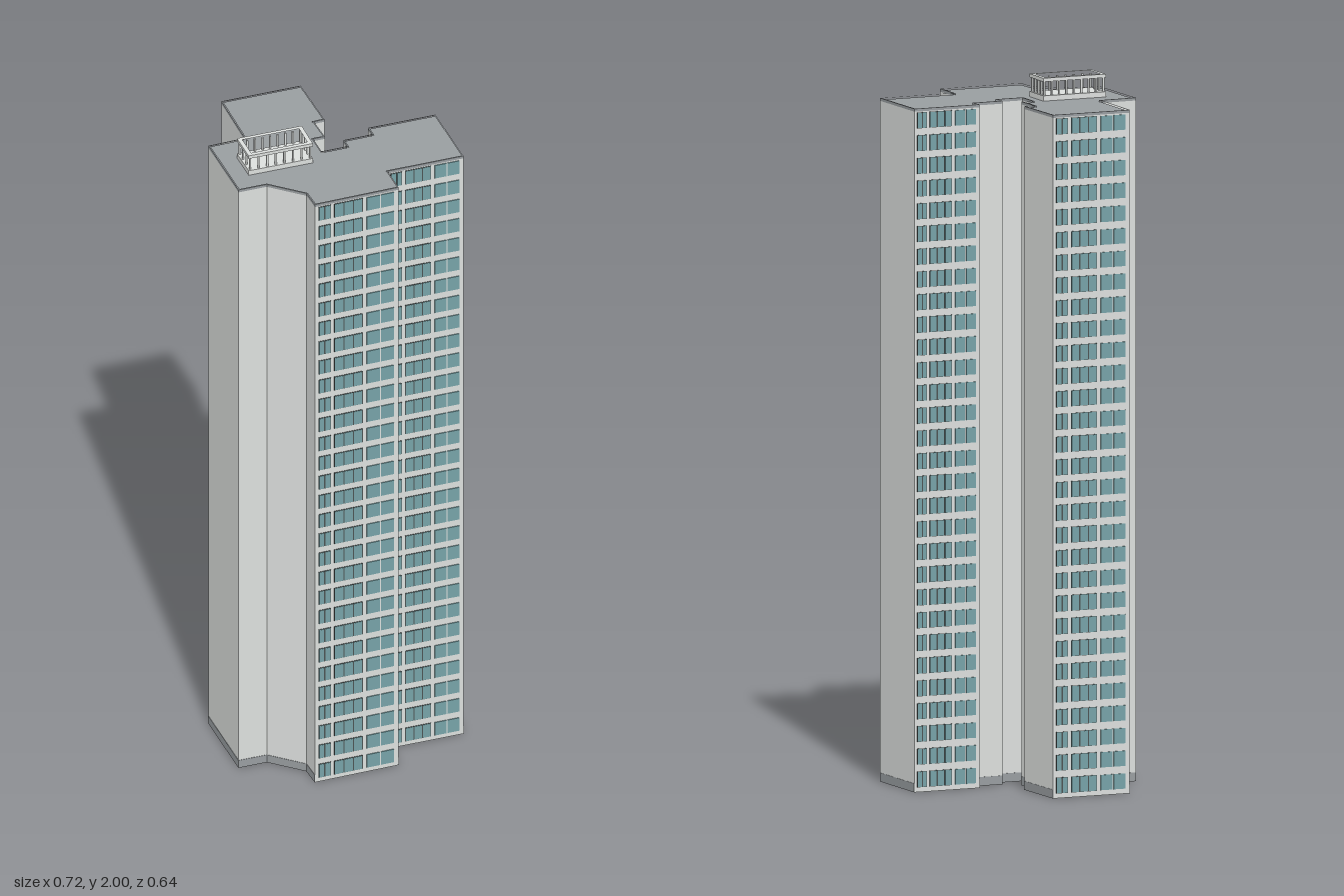
import * as THREE from 'three';
import { mergeGeometries } from 'three/addons/utils/BufferGeometryUtils.js';

const material = (name, color) => {
  const m = new THREE.MeshStandardMaterial({ color });
  m.name = name;
  return m;
};

// Tower outline as [x, z], clockwise seen from above
const OUTLINE = [
  [-0.224, -0.221], [-0.07, -0.119], [-0.087, -0.092], [-0.018, -0.048], [-0.038, -0.02],
  [0.018, 0.019], [0.062, -0.044], [0.035, -0.063], [0.084, -0.135], [0.055, -0.154],
  [0.17, -0.319], [0.357, -0.192], [0.228, -0.006], [0.301, 0.044], [0.161, 0.252],
  [0.109, 0.219], [-0.009, 0.246], [-0.057, 0.315], [-0.257, 0.179], [-0.197, 0.088],
  [-0.359, -0.027],
];
const CROWN = [[-0.05, 0.019], [0.028, 0.075], [-0.082, 0.231], [-0.161, 0.177]];
const WINDOWED = [9, 11, 13, 20]; // outline sides that carry windows
const SKIRT_TOP = 0.025, ROOF = 1.935, PARAPET_TOP = 1.94, FLOORS = 30;

const toPoints = (list) => list.map(([x, z]) => new THREE.Vector2(x, -z));

// Moves every side of a clockwise outline inward by t
function inset(points, t) {
  const normal = (a, b) => {
    const d = b.clone().sub(a).normalize();
    return new THREE.Vector2(d.y, -d.x);
  };
  const n = points.length;
  return points.map((p, i) => {
    const n1 = normal(points[(i + n - 1) % n], p);
    const n2 = normal(p, points[(i + 1) % n]);
    return p.clone().addScaledVector(n1.clone().add(n2), t / (1 + n1.dot(n2)));
  });
}

// Upright prism between two heights, with an optional hole
function prism(points, y0, y1, hole) {
  const shape = new THREE.Shape(points);
  if (hole) shape.holes.push(new THREE.Path(hole));
  const g = new THREE.ExtrudeGeometry(shape, { depth: y1 - y0, bevelEnabled: false });
  return g.rotateX(-Math.PI / 2).translate(0, y0, 0);
}

function plate(x0, x1, y0, y1, depth) {
  return new THREE.BoxGeometry(x1 - x0, y1 - y0, depth)
    .translate((x0 + x1) / 2, (y0 + y1) / 2, depth / 2);
}

export function createModel() {
  const model = new THREE.Group();
  model.name = 'apartmentTower';
  const wall = material('wall', 0xdcdfdd);
  const roofGrey = material('roofGrey', 0x989da0);
  const underside = material('underside', 0xc2c4c3);
  const glass = material('glass', 0x76a2a7);
  const frame = material('frame', 0x4b5353);

  const add = (name, geometry, mat, parent = model) => {
    const mesh = new THREE.Mesh(geometry, mat);
    mesh.name = name;
    parent.add(mesh);
    return mesh;
  };

  // Main body
  const outline = toPoints(OUTLINE);
  add('walls', prism(outline, 0, ROOF - 0.003), [underside, wall]);
  add('roof', prism(outline, ROOF - 0.003, ROOF), roofGrey);
  add('parapet', prism(outline, ROOF, PARAPET_TOP, inset(outline, 0.004)), roofGrey);

  // Window bays, as fractions of a facade from its left end: start, end, panes, dark frame
  const BAYS = [[0.04, 0.19, 2, true], [0.23, 0.57, 3, true], [0.61, 0.95, 2, false]];
  const floorHeight = ROOF / FLOORS;

  function addWindows(side, length) {
    const frames = [], panes = [];
    for (let f = 0; f < FLOORS; f++) {
      const y0 = floorHeight * (f + 0.21);
      const y1 = floorHeight * (f + 0.91);
      for (const [start, end, count, framed] of BAYS) {
        const x0 = start * length, x1 = end * length, step = (x1 - x0) / count;
        if (framed) frames.push(plate(x0, x1, y0, y1, 0.0015));
        for (let i = 0; i < count; i++) {
          panes.push(plate(x0 + i * step + 0.002, x0 + (i + 1) * step - 0.002,
            y0 + 0.001, y1 - 0.001, 0.0025));
        }
      }
    }
    add('windowFrames', mergeGeometries(frames), frame, side);
    add('windowPanes', mergeGeometries(panes), glass, side);
  }

  // Every side gets either windows or a grey skirt at the ground
  OUTLINE.forEach((b, i) => {
    const a = OUTLINE[(i + 1) % OUTLINE.length]; // left end seen from outside
    const length = Math.hypot(b[0] - a[0], b[1] - a[1]);
    const side = new THREE.Group();
    side.position.set(a[0], 0, a[1]);
    side.rotation.y = Math.atan2(a[1] - b[1], b[0] - a[0]);
    if (WINDOWED.includes(i)) {
      side.name = 'windowFacade';
      addWindows(side, length);
    } else {
      side.name = 'blankSide';
      add('skirt', plate(0, length, 0, SKIRT_TOP, 0.001), roofGrey, side);
    }
    model.add(side);
  });

  // Rooftop crown: deck, ring beam and posts
  const crown = toPoints(CROWN);
  add('crownDeck', prism(crown, ROOF, 1.95), wall);
  add('crownRing', prism(crown, 1.99, 2, inset(crown, 0.012)), wall);
  const posts = [];
  const postLine = inset(crown, 0.006);
  postLine.forEach((p, i) => {
    const q = postLine[(i + 1) % 4];
    const count = Math.round(p.distanceTo(q) / 0.024);
    for (let k = 0; k < count; k++) {
      const c = p.clone().lerp(q, k / count);
      posts.push(new THREE.BoxGeometry(0.005, 0.042, 0.005)
        .rotateY(Math.atan2(q.y - p.y, q.x - p.x)).translate(c.x, 1.97, -c.y));
    }
  });
  add('crownPosts', mergeGeometries(posts), wall);

  return model;
}
